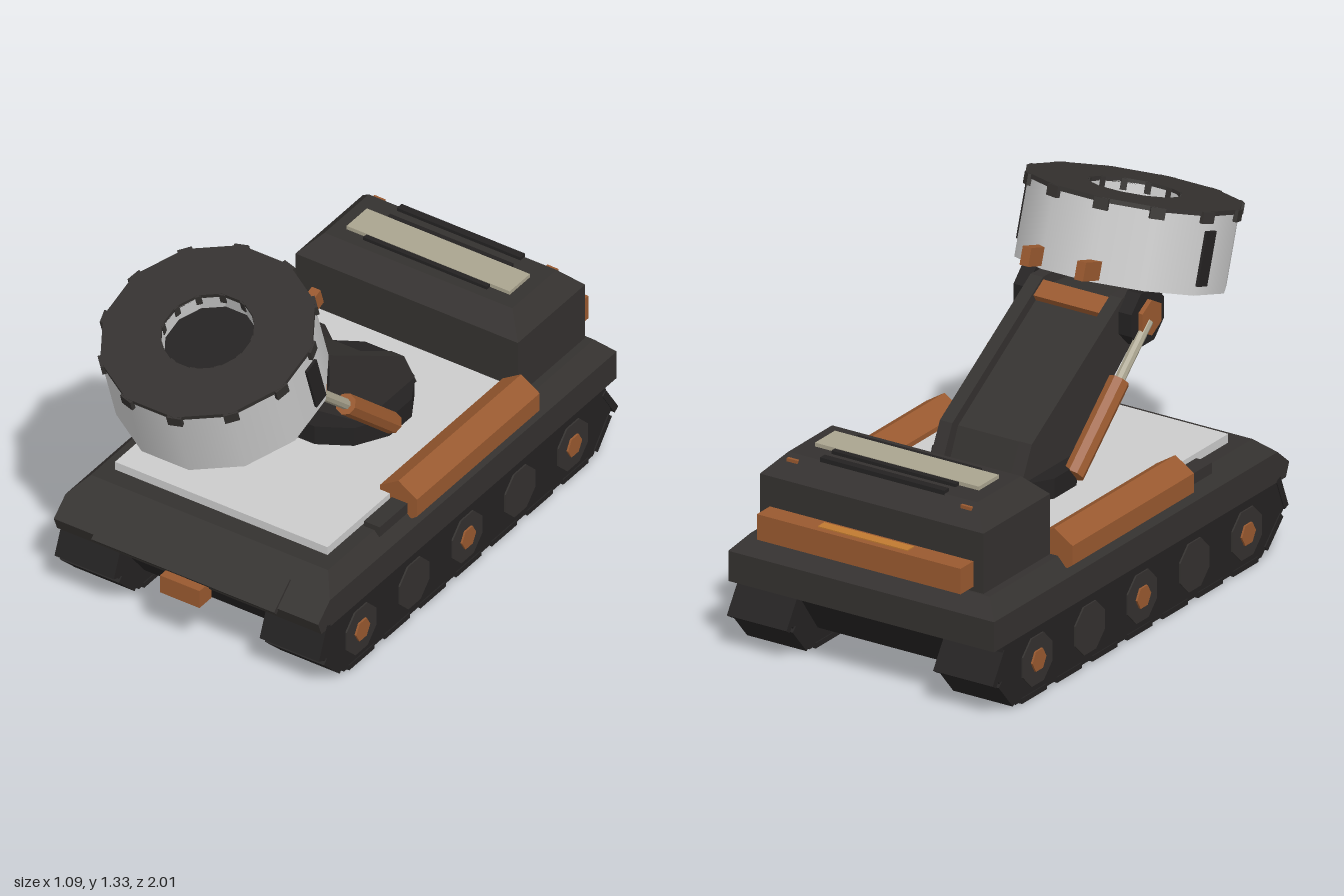
import * as THREE from 'three';

const mat = (color, extra = {}) => new THREE.MeshStandardMaterial({ color, flatShading: true, ...extra });
const DARK = mat(0x34312f), BLACK = mat(0x242222), BROWN = mat(0x99592f), ORANGE = mat(0xc07a30);
const GREY = mat(0xcccccc), SMOOTH = mat(0xcccccc, { flatShading: false });
const INNER = mat(0xcccccc, { side: THREE.DoubleSide }), BEIGE = mat(0xaaa48f);

function add(parent, name, geometry, material, pos = [0, 0, 0], rotX = 0) {
  const mesh = new THREE.Mesh(geometry, material);
  mesh.name = name;
  mesh.position.set(...pos);
  mesh.rotation.x = rotX;
  parent.add(mesh);
  return mesh;
}

// Box given by its x, y and z ranges
function box(parent, name, material, [x0, x1], [y0, y1], [z0, z1]) {
  return add(parent, name, new THREE.BoxGeometry(x1 - x0, y1 - y0, z1 - z0), material,
    [(x0 + x1) / 2, (y0 + y1) / 2, (z0 + z1) / 2]);
}

// Stack of rectangular sections: [y, half width, front z, back z]
function stack(rings) {
  const loops = rings.map(([y, w, f, b]) => [[w, y, f], [w, y, b], [-w, y, b], [-w, y, f]]);
  const v = [];
  const quad = (a, b, c, d) => v.push(...a, ...b, ...c, ...a, ...c, ...d);
  for (let r = 0; r + 1 < loops.length; r++) {
    for (let i = 0; i < 4; i++) {
      const j = (i + 1) % 4;
      quad(loops[r][i], loops[r][j], loops[r + 1][j], loops[r + 1][i]);
    }
  }
  const [a, b, c, d] = loops[0];
  quad(d, c, b, a);
  quad(...loops[loops.length - 1]);
  const g = new THREE.BufferGeometry();
  g.setAttribute('position', new THREE.Float32BufferAttribute(v, 3));
  g.computeVertexNormals();
  return g;
}

const extrude = (points, depth) => new THREE.ExtrudeGeometry(
  new THREE.Shape(points.map(p => new THREE.Vector2(...p))), { depth, bevelEnabled: false }
).translate(0, 0, -depth / 2);

// Profile in (z, y), extruded across x
const sideProfile = (points, width) => extrude(points, width).rotateY(-Math.PI / 2);

// Short cylinder lying along x
const disc = (r, width, sides, start = 0) =>
  new THREE.CylinderGeometry(r, r, width, sides, 1, false, start).rotateZ(Math.PI / 2);

// Rod between two points of the (z, y) plane at a given x
function rod(parent, name, material, x, [z0, y0], [z1, y1], r, sides) {
  const len = Math.hypot(z1 - z0, y1 - y0);
  add(parent, name, new THREE.CylinderGeometry(r, r, len, sides), material,
    [x, (y0 + y1) / 2, (z0 + z1) / 2], Math.atan2(z1 - z0, y1 - y0));
}

function buildHull(g) {
  add(g, 'belly', stack([[0.07, 0.31, 0.6, -0.8], [0.25, 0.31, 0.74, -0.93]]), BLACK);
  add(g, 'upperHull', stack([[0.25, 0.535, 0.77, -0.985], [0.3, 0.535, 0.79, -0.985],
    [0.36, 0.535, 0.72, -0.985], [0.42, 0.48, 0.65, -0.93]]), DARK);
  add(g, 'frontPanel', new THREE.BoxGeometry(0.74, 0.125, 0.02), DARK, [0, 0.328, 0.756], -0.86);
  add(g, 'towBlock', new THREE.BoxGeometry(0.16, 0.07, 0.07), BROWN, [0, 0.24, 0.792]);
  box(g, 'deck', GREY, [-0.43, 0.43], [0.41, 0.452], [-0.53, 0.58]);
  // Side lockers with a ridged lid
  const locker = [[-0.075, 0.385], [0.055, 0.385], [0.075, 0.4], [0.075, 0.47], [0, 0.518], [-0.075, 0.47]];
  for (const s of [-1, 1]) {
    const points = locker.map(([x, y]) => [s * x, y]);
    add(g, 'sideLocker', extrude(points, 0.73), BROWN, [s * 0.465, 0, -0.155]);
    box(g, 'deckBlock', DARK, [s * 0.47 - 0.032, s * 0.47 + 0.032], [0.4, 0.44], [0.2, 0.375]);
  }
}

function buildCab(g) {
  add(g, 'cab', stack([[0.4, 0.45, -0.522, -0.922], [0.64, 0.45, -0.522, -0.922],
    [0.713, 0.38, -0.592, -0.855]]), DARK);
  box(g, 'roofPanel', BEIGE, [-0.33, 0.33], [0.7, 0.727], [-0.77, -0.65]);
  for (const z of [-0.645, -0.71, -0.777, -0.845])
    box(g, 'roofSlat', BLACK, [-0.25, 0.25], [0.7, 0.725], [z - 0.014, z + 0.014]);
  box(g, 'rearBumper', BROWN, [-0.41, 0.41], [0.437, 0.53], [-1, -0.915]);
  box(g, 'bumperLight', ORANGE, [-0.18, 0.18], [0.5, 0.534], [-0.977, -0.937]);
  for (const s of [-1, 1])
    box(g, 'cabMarker', BROWN, [s * 0.35 - 0.022, s * 0.35 + 0.022], [0.685, 0.7], [-0.878, -0.865]);
}

function buildTracks(g) {
  const outline = [[0.73, 0.26], [0.765, 0.14], [0.63, 0.008], [-0.85, 0.008], [-0.955, 0.13], [-0.92, 0.26]];
  for (const s of [-1, 1]) {
    const track = new THREE.Group();
    track.name = s > 0 ? 'leftTrack' : 'rightTrack';
    track.position.x = s * 0.415;
    g.add(track);
    add(track, 'trackBody', sideProfile(outline, 0.232), BLACK);
    // Tread pads underneath and on the sloping ends
    for (let i = 0; i < 7; i++)
      add(track, 'treadPad', new THREE.BoxGeometry(0.24, 0.02, 0.15), BLACK, [0, 0.01, 0.53 - i * 0.212]);
    for (const [z, y, a] of [[0.7, 0.075, -0.77], [0.75, 0.2, -1.95], [-0.905, 0.068, 0.86], [-0.948, 0.175, 2.15]])
      add(track, 'endPad', new THREE.BoxGeometry(0.24, 0.025, 0.13), BLACK, [0, y, z], a);
    // Road wheels, with a hub cap on every second one
    for (let i = 0; i < 5; i++) {
      const z = 0.535 - i * 0.315;
      add(track, 'roadWheel', disc(0.095, 0.02, 8, Math.PI / 8), DARK, [s * 0.112, 0.13, z]);
      if (i % 2 === 0) add(track, 'hubCap', disc(0.042, 0.03, 6), BROWN, [s * 0.114, 0.13, z]);
    }
  }
}

function buildArm(g) {
  add(g, 'turntable', new THREE.CylinderGeometry(0.255, 0.255, 0.08, 12, 1, false, Math.PI / 12), BLACK, [0, 0.485, -0.125]);
  const cheek = [[-0.31, 0.5], [-0.235, 0.65], [0.31, 0.985], [0.42, 0.985], [0.555, 0.93], [0.53, 0.87],
    [0.48, 0.87], [0.36, 0.8], [-0.02, 0.5]];
  const beam = [[-0.26, 0.5], [-0.2, 0.63], [0.32, 0.95], [0.5, 0.93], [0.46, 0.88], [0.34, 0.82], [-0.06, 0.5]];
  add(g, 'armBeam', sideProfile(beam, 0.28), DARK);
  add(g, 'armCrossbar', new THREE.BoxGeometry(0.27, 0.03, 0.07), BROWN, [0, 0.945, 0.29], -0.55);
  for (const s of [-1, 1]) {
    add(g, 'armCheek', sideProfile(cheek, 0.05), DARK, [s * 0.16, 0, 0]);
    add(g, 'armPivot', disc(0.105, 0.055, 8, Math.PI / 8), BLACK, [s * 0.21, 0.905, 0.383]);
    add(g, 'pivotPin', disc(0.065, 0.08, 6, Math.PI / 6), BROWN, [s * 0.215, 0.905, 0.383]);
    // Lifting ram
    rod(g, 'ramCylinder', BROWN, s * 0.245, [-0.075, 0.495], [0.2, 0.74], 0.038, 8);
    rod(g, 'ramRod', BEIGE, s * 0.245, [0.18, 0.722], [0.375, 0.895], 0.019, 8);
  }
}

function buildDrum(g) {
  const drum = new THREE.Group();
  drum.name = 'drum';
  drum.position.set(0, 1.08, 0.617);
  drum.rotation.x = 0.31;
  g.add(drum);
  const R = 0.369, H = 0.147, N = 12, START = Math.PI / N;
  const ring = pts => new THREE.LatheGeometry(pts.map(p => new THREE.Vector2(...p)), N, START);
  add(drum, 'drumWall', new THREE.CylinderGeometry(R, R, 2 * H - 0.01, N, 1, true, START), SMOOTH);
  add(drum, 'drumBase', new THREE.CircleGeometry(R, N, START).rotateX(Math.PI / 2), GREY, [0, -H + 0.005, 0]);
  add(drum, 'drumLid', ring([[0.163, H - 0.016], [R + 0.004, H - 0.016], [R + 0.004, H], [0.163, H], [0.163, H - 0.016]]), DARK);
  add(drum, 'recessWall', ring([[0.163, H - 0.07], [0.163, H - 0.012]]), INNER);
  add(drum, 'recessFloor', new THREE.CircleGeometry(0.165, N, START).rotateX(-Math.PI / 2), BLACK, [0, H - 0.07, 0]);
  // Lid clips around the outer and inner rims
  for (let i = 0; i < N; i++) {
    const a = START + i * 2 * START;
    for (const [r, w, t] of [[R - 0.002, 0.052, 0.02], [0.162, 0.022, 0.012]]) {
      const clip = add(drum, 'lidClip', new THREE.BoxGeometry(w, 0.04, t), DARK,
        [r * Math.sin(a), H - 0.021, r * Math.cos(a)]);
      clip.rotation.y = a;
    }
  }
  for (const s of [-1, 1]) {
    add(drum, 'sideStrip', new THREE.BoxGeometry(0.02, 0.19, 0.06), BLACK, [s * 0.356, -0.015, -0.066]);
    add(drum, 'rearLug', new THREE.BoxGeometry(0.035, 0.065, 0.12), BROWN, [s * 0.11, -0.1, -0.38]);
  }
}

export function createModel() {
  const model = new THREE.Group();
  model.name = 'trackedVehicle';
  [buildHull, buildCab, buildTracks, buildArm, buildDrum].forEach(build => build(model));
  return model;
}
